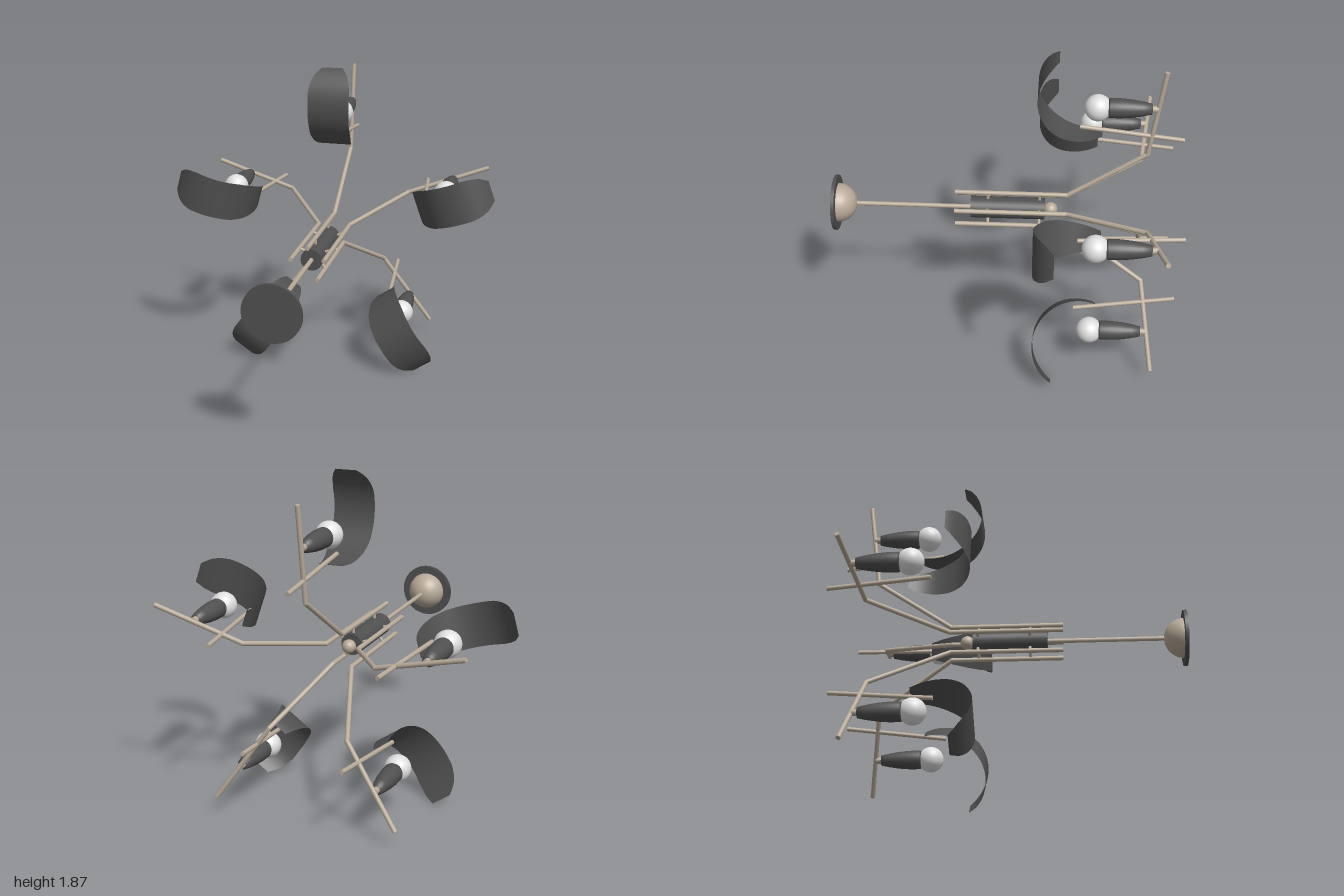
import * as THREE from 'three';

const mat = (name, color, side = THREE.FrontSide) => {
  const m = new THREE.MeshStandardMaterial({ color, side });
  m.name = name;
  return m;
};

// Half width of the curved shade at an angle in degrees along its arc
const SHADE_WIDTHS = [[-111, 0.05], [-95, 0.072], [-79, 0.09], [-60, 0.109], [-40, 0.12],
  [20, 0.122], [32, 0.113], [42, 0.098], [55, 0.062]];
function shadeHalfWidth(deg) {
  for (let i = 1; i < SHADE_WIDTHS.length; i++) {
    const [a0, w0] = SHADE_WIDTHS[i - 1], [a1, w1] = SHADE_WIDTHS[i];
    if (deg <= a1) return w0 + (w1 - w0) * (deg - a0) / (a1 - a0);
  }
  return SHADE_WIDTHS[SHADE_WIDTHS.length - 1][1];
}

// Curved strip: a flat grid bent around an arc and narrowed at both ends
function shadeGeometry() {
  const geo = new THREE.PlaneGeometry(2, 1, 6, 60);
  const p = geo.attributes.position;
  for (let i = 0; i < p.count; i++) {
    const deg = -111 + 166 * (p.getY(i) + 0.5);
    const a = THREE.MathUtils.degToRad(deg);
    p.setXYZ(i, p.getX(i) * shadeHalfWidth(deg), 0.79 + 0.265 * Math.sin(a), -0.445 + 0.265 * Math.cos(a));
  }
  geo.computeVertexNormals();
  return geo;
}

export function createModel() {
  const brass = mat('paleBrass', 0xb8aa98);
  const dark = mat('darkGrey', 0x505050);
  const shadeMat = mat('shadeGrey', 0x505050, THREE.DoubleSide);
  const glass = mat('bulbWhite', 0xe0e0e0);

  const model = new THREE.Group();
  model.name = 'chandelier';
  const fixture = new THREE.Group();
  fixture.name = 'fixture';
  fixture.position.set(0.005, 0.868, 0);
  model.add(fixture);

  const add = (parent, name, geo, material) => {
    const mesh = new THREE.Mesh(geo, material);
    mesh.name = name;
    parent.add(mesh);
    return mesh;
  };
  // Straight round rod between two points given as [x, y, z]
  const rod = (parent, name, from, to, radius, material) => {
    const a = new THREE.Vector3(...from), b = new THREE.Vector3(...to);
    const d = b.clone().sub(a);
    const mesh = add(parent, name, new THREE.CylinderGeometry(radius, radius, d.length(), 16), material);
    mesh.position.copy(a).add(b).multiplyScalar(0.5);
    mesh.quaternion.setFromUnitVectors(new THREE.Vector3(0, 1, 0), d.normalize());
    return mesh;
  };
  const ball = (parent, name, pos, radius, material) => {
    const mesh = add(parent, name, new THREE.SphereGeometry(radius, 32, 20), material);
    mesh.position.set(...pos);
    return mesh;
  };

  // Ceiling mount, stem, central body and finial
  rod(fixture, 'ceilingPlate', [0, 0, 0.98], [0, 0, 1], 0.162, dark).geometry =
    new THREE.CylinderGeometry(0.162, 0.162, 0.02, 48);
  const dome = add(fixture, 'mountDome',
    new THREE.SphereGeometry(0.115, 40, 16, 0, Math.PI * 2, 0, Math.PI / 2), brass);
  dome.rotation.x = -Math.PI / 2;
  dome.position.z = 0.985;
  rod(fixture, 'stem', [0, 0, 0.98], [0, 0, -0.25], 0.013, brass);
  rod(fixture, 'body', [0, 0, 0.2], [0, 0, -0.23], 0.063, dark).geometry =
    new THREE.CylinderGeometry(0.063, 0.063, 0.43, 40);
  ball(fixture, 'finial', [0, 0, -0.265], 0.04, brass);

  // Socket profile, running from the bulb towards the arm
  const socketGeo = new THREE.LatheGeometry([
    [0, 0], [0.05, 0], [0.055, 0.01], [0.055, 0.07], [0.05, 0.13], [0.041, 0.19], [0.03, 0.24], [0, 0.24],
  ].map(([x, y]) => new THREE.Vector2(x, y)), 32);
  socketGeo.rotateX(-Math.PI / 2);
  const shadeGeo = shadeGeometry();

  // Five arms: local +y points outwards, z runs along the stem
  for (const angle of [90, 19.5, 165, 235, 305]) {
    const arm = new THREE.Group();
    arm.name = 'arm';
    arm.rotation.z = THREE.MathUtils.degToRad(angle - 90);
    fixture.add(arm);

    // Bent arm with pegs to the body
    const path = [[0, 0.101, 0.29], [0, 0.101, -0.36], [0, 0.4, -0.8], [0, 0.925, -0.87]];
    for (let i = 0; i < 3; i++) rod(arm, 'armRod', path[i], path[i + 1], 0.0135, brass);
    for (const i of [1, 2]) ball(arm, 'armElbow', path[i], 0.0135, brass);
    for (const z of [0.1, -0.2]) rod(arm, 'peg', [0, 0.05, z], [0, 0.1, z], 0.009, brass);

    // Shade and its cross rod
    rod(arm, 'shadeRod', [0, 0.572, -0.415], [0, 0.5, -0.998], 0.0125, brass);
    add(arm, 'shade', shadeGeo, shadeMat);

    // Bulb, socket and mounting nub
    ball(arm, 'bulb', [0, 0.697, -0.51], 0.075, glass);
    add(arm, 'socket', socketGeo, dark).position.set(0, 0.697, -0.565);
    rod(arm, 'socketNub', [0, 0.697, -0.8], [0, 0.697, -0.838], 0.019, brass);
  }
  return model;
}
